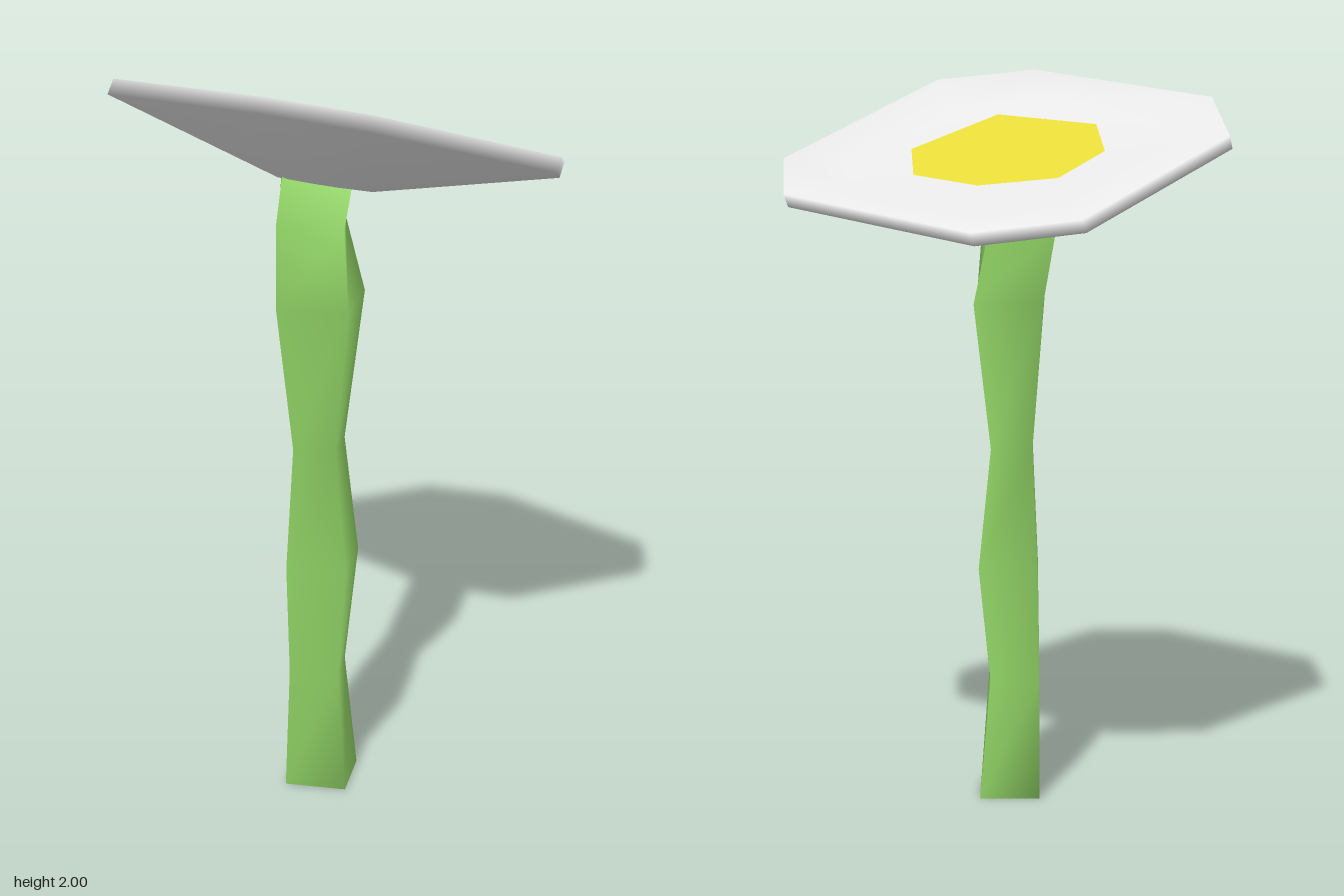
import * as THREE from 'three';

// Smooth closed skin through rings of [x, y, z] points (bottom to top), with a hub point at each end
function loft(rings, bottom, top) {
  const n = rings[0].length;
  const points = [...rings.flat(), bottom, top];
  const b = rings.length * n, t = b + 1, index = [];
  for (let i = 0; i < n; i++) {
    const j = (i + 1) % n, last = (rings.length - 1) * n;
    index.push(b, j, i, t, last + i, last + j);
    for (let r = 0; r < rings.length - 1; r++) {
      const lo = r * n, hi = lo + n;
      index.push(lo + i, lo + j, hi + j, lo + i, hi + j, hi + i);
    }
  }
  const g = new THREE.BufferGeometry();
  g.setAttribute('position', new THREE.Float32BufferAttribute(points.flat(), 3));
  g.setIndex(index);
  g.computeVertexNormals();
  return g;
}

// Height of the tilted flower plane
const plane = (z) => 1.815 + 0.366 * z;

export function createModel() {
  const model = new THREE.Group();
  const green = new THREE.MeshStandardMaterial({ color: 0x97dc6a });
  green.name = 'stem green';
  const white = new THREE.MeshStandardMaterial({ color: 0xe8e8e8 });
  white.name = 'petal white';
  const yellow = new THREE.MeshStandardMaterial({ color: 0xe6da38 });
  yellow.name = 'centre yellow';

  const add = (name, geometry, material) => {
    const mesh = new THREE.Mesh(geometry, material);
    mesh.name = name;
    model.add(mesh);
  };

  // Stem: four-sided, turned sections: y, centre x, centre z, radius x, radius z, slope
  const sections = [
    [0, 0.045, 0.155, 0.117, 0.117, 0],
    [0.33, 0.033, 0.155, 0.097, 0.084, 0],
    [0.65, 0.05, 0.155, 0.113, 0.117, 0],
    [0.98, 0.04, 0.155, 0.08, 0.082, 0],
    [1.38, 0.048, 0.157, 0.131, 0.142, 0],
    [1.59, 0.02, 0.158, 0.133, 0.086, 0],
    [1.68, 0.005, 0.108, 0.139, 0.075, 0.35],
    [1.74, 0.005, 0.09, 0.11, 0.06, 0.35],
  ];
  const stemRings = sections.map(([y, cx, cz, rx, rz, slope]) =>
    [0, 1, 2, 3].map((k) => {
      const a = THREE.MathUtils.degToRad(-25.5 + 90 * k);
      const dz = rz * Math.cos(a);
      return [cx + rx * Math.sin(a), y + slope * dz, cz + dz];
    }));
  add('stem', loft(stemRings, [0.045, 0, 0.155], [0.005, 1.74, 0.09]), green);

  // Flower head: shallow tilted dish with a thin rim and a tapering underside
  const outline = [
    [0.1, 0.5], [0.36, 0.42], [0.59, -0.12], [0.49, -0.34],
    [-0.1, -0.53], [-0.36, -0.44], [-0.59, 0.07], [-0.47, 0.32],
  ];
  const hub = outline.map(([x, z]) => [0.03 + x * 0.22, 1.675 + 0.3 * z * 0.18, 0.11 + z * 0.18]);
  const lowerRim = outline.map(([x, z]) => [x, plane(z) - 0.035, z + 0.027]);
  const upperRim = outline.map(([x, z]) => [x, plane(z), z]);
  const dish = outline.map(([x, z]) => [x * 0.7, plane(z * 0.7) - 0.025, z * 0.7]);
  add('flowerHead',
    loft([hub, lowerRim, upperRim, dish], [0.03, 1.675, 0.11], [0, plane(0) - 0.03, 0]), white);

  // Flower centre: thin, slightly domed plate
  const disc = [
    [0.11, 0.235], [0.27, 0], [0.2, -0.16], [0, -0.215],
    [-0.2, -0.16], [-0.27, 0.01], [-0.19, 0.18],
  ];
  const edge = disc.map(([x, z]) => [x, plane(z) - 0.02, z]);
  add('flowerCentre', loft([edge], [0, plane(0) - 0.027, 0], [0, plane(0) - 0.014, 0]), yellow);
  model.getObjectByName('flowerCentre').geometry = domeOnly(edge);

  return model;
}

// Open fan from an edge loop to a slightly raised middle point
function domeOnly(edge) {
  const n = edge.length, index = [];
  for (let i = 0; i < n; i++) index.push(n, i, (i + 1) % n);
  const g = new THREE.BufferGeometry();
  g.setAttribute('position',
    new THREE.Float32BufferAttribute([...edge, [0, plane(0) - 0.014, 0]].flat(), 3));
  g.setIndex(index);
  g.computeVertexNormals();
  return g;
}
